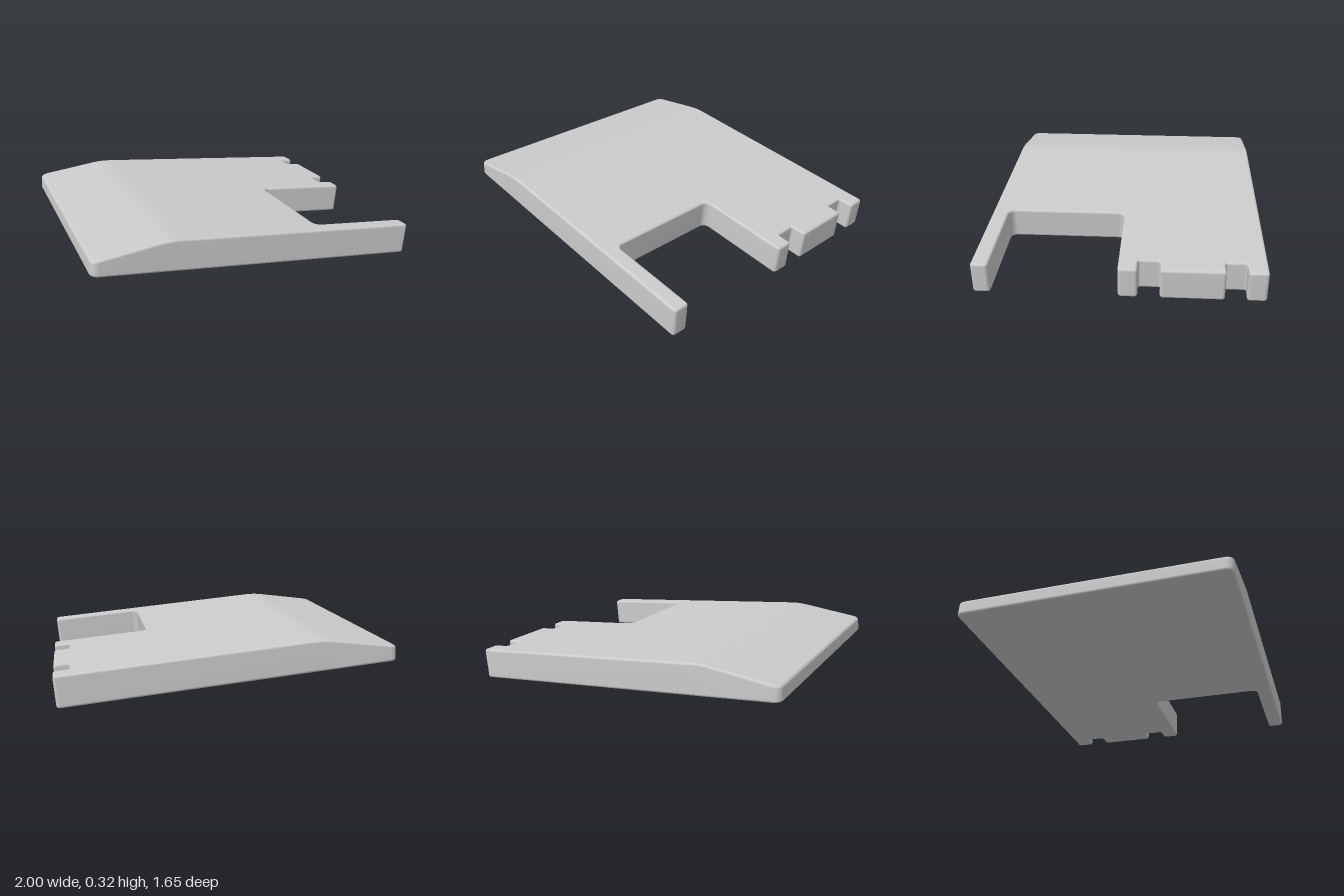
import * as THREE from 'three';

const LENGTH = 1.99, HALF = 0.825, THICK = 0.188, NOSE = 0.09;
const RIDGE = 0.44, SOFT = 0.06, BEVEL = 0.015, ARC = 5, STEPS = 4;
const creases = [0.38, 0.41, 0.44, 0.47, 0.5];

// Height of the top face: a ramp that eases into a level slab
function topAt(u) {
  const w = RIDGE - u;
  const g = w > SOFT ? w : w < -SOFT ? 0 : (w + SOFT) ** 2 / (4 * SOFT);
  return THICK - ((THICK - NOSE) / RIDGE) * g;
}

// Plan outline as [u, z, corner radius], with the two slots and the large notch
const slot = (z0, z1) => [
  [LENGTH, z0, 0.016], [1.896, z0, 0.012], [1.896, z1, 0.012], [LENGTH, z1, 0.016],
];
const outline = [
  [0, -HALF, 0.045],
  ...creases.map((u) => [u, -HALF, 0]),
  [LENGTH, -HALF, 0.02],
  ...slot(-0.712, -0.592),
  ...slot(-0.23, -0.105),
  [LENGTH, 0.005, 0.02], [1.389, 0.005, 0.04],
  [1.389, 0.725, 0.04], [LENGTH, 0.725, 0.02],
  [LENGTH, HALF, 0.02],
  ...[...creases].reverse().map((u) => [u, HALF, 0]),
  [0, HALF, 0.045],
];

// The outline with rounded corners, moved inwards by a distance
function insetRing(inset) {
  const ring = [], n = outline.length;
  const dir = (a, b) => new THREE.Vector2(b[0] - a[0], b[1] - a[1]).normalize();
  outline.forEach((p, i) => {
    const d1 = dir(outline[(i + n - 1) % n], p), d2 = dir(p, outline[(i + 1) % n]);
    const q = new THREE.Vector2(p[0] - inset * d1.y, p[1] + inset * d1.x);
    if (p[2] === 0) { ring.push(q); return; }
    q.x -= inset * d2.y;
    q.y += inset * d2.x;
    const r = d1.cross(d2) > 0 ? p[2] - inset : p[2] + inset;
    const c = q.addScaledVector(d1, -r).addScaledVector(d2, r);
    for (let k = 0; k <= ARC; k++) {
      const t = (k / ARC) * Math.PI / 2;
      ring.push(c.clone().addScaledVector(d2, -r * Math.cos(t)).addScaledVector(d1, r * Math.sin(t)));
    }
  });
  return ring;
}

function slabGeometry() {
  const positions = [], index = [];

  // Stack of rings: lower bevel, wall, upper bevel
  const levels = [];
  for (let k = 0; k <= STEPS; k++) {
    const t = (k / STEPS) * Math.PI / 2;
    levels.push({ inset: BEVEL * (1 - Math.sin(t)), rise: BEVEL * (1 - Math.cos(t)) });
  }
  const rings = levels.map((l) => insetRing(l.inset));
  const n = rings[0].length;
  levels.forEach((l, k) => rings[k].forEach((p) => positions.push(p.x, l.rise, p.y)));
  for (let k = STEPS; k >= 0; k--) {
    rings[k].forEach((p) => positions.push(p.x, topAt(p.x) - levels[k].rise, p.y));
  }
  const count = levels.length * 2;
  for (let k = 0; k < count - 1; k++) {
    for (let i = 0; i < n; i++) {
      const j = (i + 1) % n, a = k * n, b = a + n;
      index.push(a + i, b + i, a + j, a + j, b + i, b + j);
    }
  }

  // Caps, cut into bands so the ridge runs straight across
  const inner = rings[0], last = (count - 1) * n;
  const bounds = [-1, ...creases, 3];
  for (let s = 0; s < bounds.length - 1; s++) {
    const ids = inner.map((p, i) => i)
      .filter((i) => inner[i].x >= bounds[s] - 1e-6 && inner[i].x <= bounds[s + 1] + 1e-6);
    const faces = THREE.ShapeUtils.triangulateShape(ids.map((i) => inner[i].clone()), []);
    faces.forEach((f) => {
      let [a, b, c] = f.map((i) => ids[i]);
      const area = inner[b].clone().sub(inner[a]).cross(inner[c].clone().sub(inner[a]));
      if (area < 0) [b, c] = [c, b];
      index.push(a, b, c, last + a, last + c, last + b);
    });
  }

  const geometry = new THREE.BufferGeometry();
  geometry.setAttribute('position', new THREE.Float32BufferAttribute(positions, 3));
  geometry.setIndex(index);
  geometry.computeVertexNormals();
  return geometry;
}

export function createModel() {
  const model = new THREE.Group();
  model.name = 'notchedWedgePlate';
  const plate = new THREE.Mesh(slabGeometry(), new THREE.MeshStandardMaterial({ color: 0xcccccc }));
  plate.name = 'plate';
  // The slab leans down towards its notched end
  plate.rotation.z = -THREE.MathUtils.degToRad(5);
  plate.position.set(-1, 0.173, 0);
  model.add(plate);
  return model;
}
